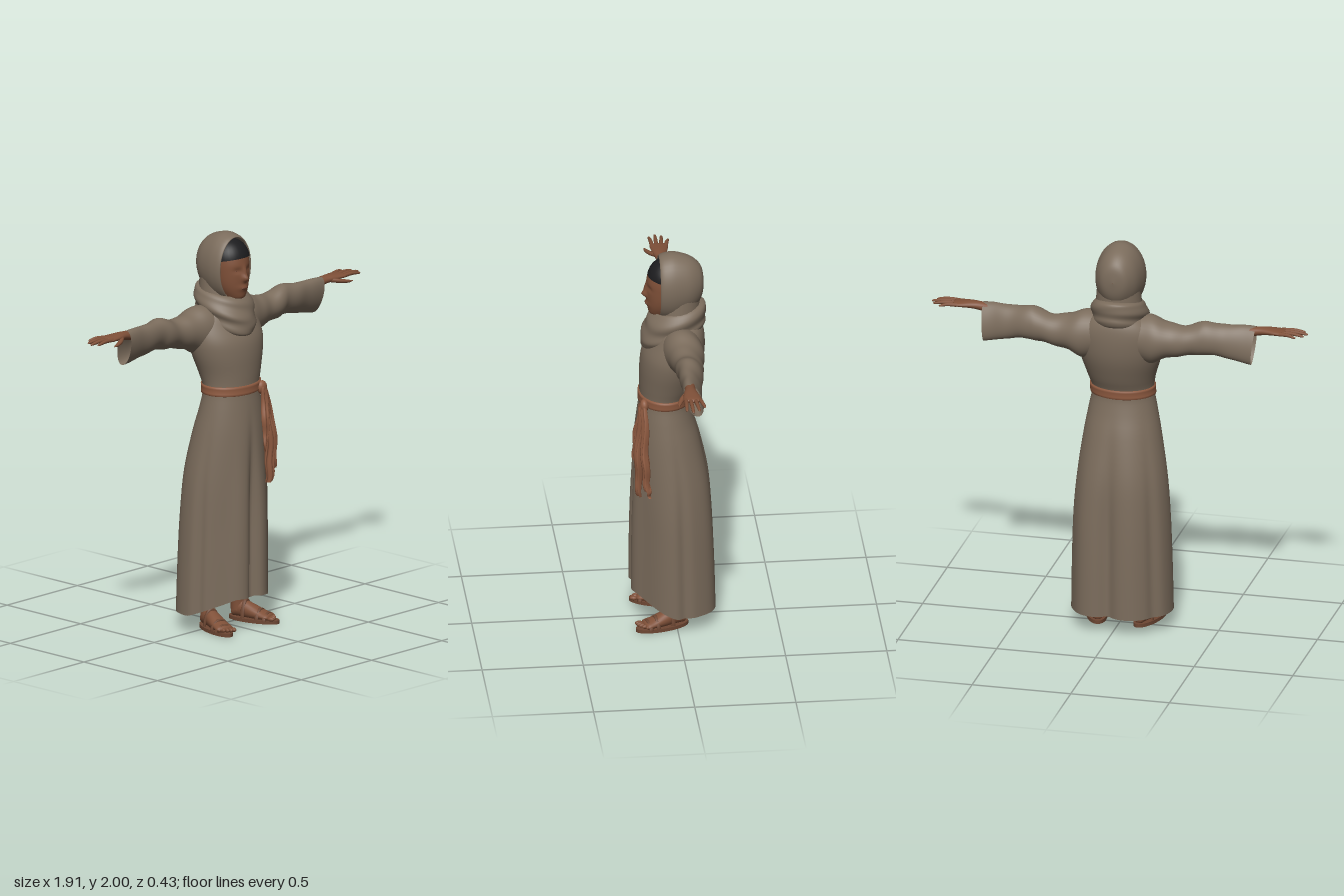
import * as THREE from 'three';

const paint = (name, color, side = THREE.FrontSide) => {
  const m = new THREE.MeshStandardMaterial({ color, side });
  m.name = name;
  return m;
};

// Catmull-Rom through rows of numbers, seg steps per span
function spline(rows, seg) {
  const out = [], last = rows.length - 1;
  const at = i => rows[Math.min(last, Math.max(0, i))];
  for (let i = 0; i < last; i++) {
    const [p, q, r, s] = [at(i - 1), at(i), at(i + 1), at(i + 2)];
    for (let k = 0; k < seg; k++) {
      const t = k / seg;
      out.push(q.map((v, c) => {
        const quad = 2 * p[c] - 5 * v + 4 * r[c] - s[c];
        const cubic = 3 * (v - r[c]) + s[c] - p[c];
        return v + 0.5 * t * (r[c] - p[c] + t * (quad + t * cubic));
      }));
    }
  }
  out.push(rows[last]);
  return out;
}

// Closed cross-sections along an axis; a row is [x, y, z, side radius, out radius]
const FRAMES = {
  x: [[0, 0, 1], [0, 1, 0]],
  y: [[1, 0, 0], [0, 0, 1]],
  z: [[-1, 0, 0], [0, 1, 0]],
};
function loft(keys, axis, { n = 24, seg = 4, warp } = {}) {
  const [side, out] = FRAMES[axis], rows = spline(keys, seg), pos = [], idx = [];
  rows.forEach((r, i) => {
    for (let j = 0; j < n; j++) {
      const a = j / n * Math.PI * 2, s = Math.sin(a) * r[3], c = Math.cos(a) * r[4];
      const p = new THREE.Vector3(...[0, 1, 2].map(k => r[k] + side[k] * s + out[k] * c));
      if (warp) warp(p, a, i / (rows.length - 1), r);
      pos.push(p.x, p.y, p.z);
      if (i < rows.length - 1) {
        const A = i * n + j, B = i * n + (j + 1) % n;
        idx.push(A, B, A + n, B, B + n, A + n);
      }
    }
  });
  const g = new THREE.BufferGeometry();
  g.setAttribute('position', new THREE.Float32BufferAttribute(pos, 3));
  g.setIndex(idx);
  g.computeVertexNormals();
  return g;
}

const ball = (x, y, z, rx, ry, rz) => new THREE.SphereGeometry(1, 18, 12).scale(rx, ry, rz).translate(x, y, z);

function mirror(geo) {
  const g = geo.clone(), ix = g.index.array;
  g.scale(-1, 1, 1);
  for (let i = 0; i < ix.length; i += 3) [ix[i], ix[i + 1]] = [ix[i + 1], ix[i]];
  g.computeVertexNormals();
  return g;
}

export function createModel() {
  const model = new THREE.Group();
  model.name = 'robedWoman';
  const cloth = paint('robe cloth', 0x7b6c5c, THREE.DoubleSide);
  const sash = paint('sash cloth', 0x8e5a40, THREE.DoubleSide);
  const skin = paint('skin', 0x7f5038);
  const lipSkin = paint('lips', 0x6f4331);
  const black = paint('hair', 0x1d1d1f);
  const leather = paint('sandal leather', 0x6e4733);
  const add = (name, geo, mat) => {
    const m = new THREE.Mesh(geo, mat);
    m.name = name;
    model.add(m);
  };
  const pair = (name, geo, mat) => {
    add('left' + name, geo, mat);
    add('right' + name, mirror(geo), mat);
  };

  // Robe: flared skirt with deep folds and a hem raised at the front
  const bump = (a, at, w) => Math.exp(-((Math.atan2(Math.sin(a - at), Math.cos(a - at)) / w) ** 2));
  add('robe', loft([
    [-0.012, 0.09, 0.005, 0.258, 0.212], [-0.01, 0.35, 0.008, 0.253, 0.208], [-0.008, 0.6, 0.012, 0.244, 0.2],
    [-0.008, 0.8, 0.018, 0.226, 0.188], [-0.006, 1.0, 0.035, 0.195, 0.162], [-0.005, 1.12, 0.047, 0.172, 0.138],
    [-0.005, 1.22, 0.05, 0.155, 0.122], [0, 1.3, 0.035, 0.17, 0.137], [0, 1.4, 0.017, 0.2, 0.153],
    [0, 1.48, 0.003, 0.212, 0.152], [0, 1.56, -0.018, 0.2, 0.13], [0, 1.62, -0.022, 0.15, 0.11], [0, 1.66, -0.01, 0.08, 0.08],
  ], 'y', {
    n: 120, warp(p, a, t, r) {
      const k = THREE.MathUtils.smoothstep(1.2 - p.y, 0, 0.75);
      const corner = (Math.cos(a) > 0 ? -0.07 : 0.02) * Math.sin(2 * a) ** 2;
      const folds = -0.2 * bump(a, 0, 0.11) + 0.06 * (bump(a, 0.33, 0.22) + bump(a, -0.33, 0.22)) - 0.15 * bump(a, 3.0, 0.17)
        - 0.06 * bump(a, 1.75, 0.13) - 0.06 * bump(a, -1.3, 0.12) - 0.06 * bump(a, -2.3, 0.14)
        + 0.04 * bump(a, 3.5, 0.22) + 0.06 * bump(a, 2.5, 0.28);
      const f = 1 + k * (corner + folds);
      p.x = r[0] + (p.x - r[0]) * f;
      p.z = r[2] + (p.z - r[2]) * f;
      if (p.z > 0) p.y += 0.1 * Math.min(1, p.z / 0.2) ** 1.2 * Math.max(0, 1 - r[1] / 0.8);
    },
  }), cloth);

  // Sleeves with soft wrinkles and open cuffs
  pair('Sleeve', loft([
    [0.06, 1.52, -0.02, 0.1, 0.11], [0.12, 1.525, -0.025, 0.1, 0.118], [0.18, 1.522, -0.03, 0.098, 0.118], [0.25, 1.527, -0.037, 0.082, 0.09],
    [0.32, 1.53, -0.037, 0.07, 0.075], [0.4, 1.547, -0.037, 0.068, 0.08], [0.45, 1.555, -0.035, 0.06, 0.08],
    [0.55, 1.545, -0.027, 0.05, 0.08], [0.62, 1.54, -0.022, 0.044, 0.09], [0.685, 1.533, -0.02, 0.045, 0.093],
  ], 'x', {
    n: 36, seg: 6, warp(p, a, t) {
      const w = 0.003 * Math.sin(p.x * 48 + 2 * Math.sin(a)) * Math.sin(Math.PI * t);
      p.y += w * Math.cos(a);
      p.z += w * Math.sin(a) + 0.25 * (p.y - 1.56) * t;
      p.x += 0.08 * (p.y - 1.54) * t;
    },
  }), cloth);

  // Hood shell around the head, with its edge tucked in
  add('hood', loft([
    [0, 1.84, -0.146, 0.001, 0.001], [0, 1.84, -0.138, 0.05, 0.065], [0, 1.835, -0.115, 0.08, 0.11], [0, 1.83, -0.07, 0.107, 0.148],
    [0, 1.825, 0, 0.122, 0.174], [0, 1.823, 0.045, 0.122, 0.172], [0, 1.823, 0.07, 0.115, 0.163],
    [0, 1.823, 0.073, 0.106, 0.155], [0, 1.823, 0.04, 0.098, 0.15],
  ], 'z', { n: 40 }), cloth);
  add('hoodNeck', loft([[0, 1.58, -0.01, 0.13, 0.11], [0, 1.7, -0.022, 0.115, 0.105], [0, 1.8, -0.03, 0.105, 0.095]], 'y'), cloth);

  // Cowl: draped rolls hanging lower at the front
  add('cowl', loft([
    [0, 1.548, 0.008, 0.085, 0.115], [0, 1.553, 0.008, 0.115, 0.15], [0, 1.58, 0.007, 0.133, 0.163], [0, 1.61, 0.005, 0.136, 0.155],
    [0, 1.64, 0, 0.142, 0.158], [0, 1.67, -0.008, 0.138, 0.148], [0, 1.695, -0.012, 0.125, 0.135], [0, 1.708, -0.01, 0.1, 0.11], [0, 1.68, -0.01, 0.08, 0.09],
  ], 'y', {
    n: 48, warp(p, a, t, r) {
      const f = 1 + 0.035 * Math.sin(t * 20 + 2.5 * Math.sin(a)) * Math.sin(Math.PI * t) * (0.65 + 0.35 * Math.cos(a));
      p.x *= f;
      p.z = r[2] + (p.z - r[2]) * f;
      p.y -= p.z * (0.38 - 0.2 * t);
    },
  }), cloth);

  // Head with nose, eye sockets and mouth
  add('head', loft([
    [0, 1.62, 0.015, 0.05, 0.05], [0, 1.672, 0.05, 0.042, 0.06], [0, 1.685, 0.056, 0.052, 0.07], [0, 1.72, 0.055, 0.07, 0.078], [0, 1.76, 0.05, 0.082, 0.086],
    [0, 1.81, 0.045, 0.088, 0.092], [0, 1.86, 0.04, 0.089, 0.096], [0, 1.91, 0.035, 0.08, 0.088], [0, 1.95, 0.03, 0.05, 0.06], [0, 1.965, 0.03, 0.001, 0.001],
  ], 'y', {
    n: 64, seg: 6, warp(p) {
      if (p.z < 0.06) return;
      const g = (x, y, w, h) => Math.exp(-(((p.x - x) / w) ** 2) - ((p.y - y) / h) ** 2);
      p.z += 0.024 * g(0, 1.783, 0.015, 0.016) + 0.013 * g(0, 1.815, 0.011, 0.025) + 0.008 * g(0, 1.735, 0.028, 0.014)
        - 0.007 * (g(0.036, 1.825, 0.02, 0.013) + g(-0.036, 1.825, 0.02, 0.013));
    },
  }), skin);
  add('lips', ball(0, 1.735, 0.139, 0.022, 0.007, 0.006), lipSkin);
  pair('Eyelid', ball(0.036, 1.822, 0.117, 0.014, 0.003, 0.005), lipSkin);
  add('hair', new THREE.SphereGeometry(1, 32, 20, 0, Math.PI * 2, 0, Math.PI * 0.5)
    .scale(0.1, 0.105, 0.098).rotateX(-0.2).translate(0, 1.866, 0.036), black);

  // Belt, knot and hanging sash tails
  add('belt', loft([
    [-0.005, 1.2, 0.049, 0.15, 0.12], [-0.005, 1.203, 0.049, 0.164, 0.131], [-0.003, 1.225, 0.048, 0.163, 0.13],
    [-0.003, 1.245, 0.047, 0.165, 0.132], [-0.003, 1.248, 0.047, 0.15, 0.12],
  ], 'y', { n: 48, seg: 2 }), sash);
  add('sashKnot', ball(0.1, 1.213, 0.158, 0.03, 0.034, 0.022), sash);
  const tails = [
    [[0.122, 0.73, 0.185, 0.024, 0.008], [0.125, 0.85, 0.19, 0.032, 0.013], [0.118, 1.02, 0.185, 0.03, 0.014], [0.105, 1.21, 0.166, 0.014, 0.012]],
    [[0.182, 0.78, 0.15, 0.022, 0.008], [0.174, 0.88, 0.158, 0.028, 0.014], [0.155, 1.03, 0.16, 0.028, 0.014], [0.115, 1.22, 0.16, 0.016, 0.012]],
    [[0.072, 0.9, 0.205, 0.005, 0.006], [0.082, 0.98, 0.202, 0.018, 0.01], [0.088, 1.1, 0.187, 0.02, 0.012], [0.098, 1.22, 0.168, 0.012, 0.01]],
    [[0.188, 0.745, 0.142, 0.01, 0.006], [0.185, 0.82, 0.15, 0.01, 0.008], [0.165, 1.0, 0.16, 0.014, 0.01]],
  ];
  tails.forEach((rows, i) => add('sashTail' + (i + 1), loft(rows, 'y', {
    n: 32, seg: 8, warp(p, a, t, r) {
      p.z += 0.006 * Math.cos((p.x - r[0]) * 190 + i) + 0.004 * Math.sin(t * 14);
      p.x += 0.004 * Math.sin(t * 16 + i);
    },
  }), sash));

  // Forearms, palms and spread fingers
  pair('Hand', loft([
    [0.5, 1.57, -0.02, 0.032, 0.035], [0.62, 1.59, -0.014, 0.029, 0.028], [0.7, 1.604, -0.008, 0.026, 0.022],
    [0.75, 1.609, -0.006, 0.034, 0.019], [0.8, 1.61, -0.008, 0.043, 0.015], [0.835, 1.61, -0.008, 0.042, 0.011], [0.845, 1.609, -0.008, 0.001, 0.001],
  ], 'x'), skin);
  [[-0.042, -0.06, 0.905], [-0.02, -0.031, 0.94], [0.003, 0, 0.953], [0.024, 0.03, 0.935]].forEach(([z0, z1, x1], i) => {
    pair('Finger' + (i + 1), loft([
      [0.815, 1.61, z0, 0.011, 0.01], [(0.815 + x1) / 2, 1.613, (z0 + z1) / 2, 0.0095, 0.009],
      [x1 - 0.012, 1.607, z1, 0.007, 0.006], [x1, 1.605, z1, 0.001, 0.001],
    ], 'x', { n: 10 }), skin);
  });
  pair('Thumb', loft([
    [0.735, 1.605, 0.008, 0.014, 0.012], [0.775, 1.597, 0.036, 0.014, 0.011], [0.82, 1.59, 0.055, 0.01, 0.008], [0.852, 1.588, 0.062, 0.001, 0.001],
  ], 'x', { n: 12 }), skin);

  // Underskirt behind the legs, bare legs and sandalled feet
  add('underskirt', loft([[-0.015, 0.11, -0.07, 0.1, 0.055], [-0.01, 0.3, -0.06, 0.13, 0.07], [0, 0.6, -0.03, 0.14, 0.08]], 'y'), sash);
  pair('Leg', loft([[0.108, 0.05, -0.012, 0.034, 0.038], [0.106, 0.12, -0.012, 0.034, 0.036], [0.1, 0.25, -0.01, 0.044, 0.046], [0.095, 0.5, 0, 0.055, 0.055]], 'y'), skin);
  const place = g => g.rotateY(0.28).translate(0.135, 0, 0.073);
  pair('Sole', place(new THREE.CylinderGeometry(1, 1, 0.018, 32).scale(0.053, 1, 0.137).translate(0, 0.009, 0)), leather);
  pair('Foot', place(loft([
    [0, 0.04, -0.122, 0.001, 0.001], [0, 0.042, -0.115, 0.026, 0.026], [0, 0.055, -0.085, 0.034, 0.042], [0, 0.055, -0.05, 0.036, 0.045],
    [0, 0.044, 0, 0.041, 0.038], [0, 0.035, 0.05, 0.045, 0.024], [0, 0.03, 0.09, 0.043, 0.016], [0, 0.028, 0.1, 0.001, 0.001],
  ], 'z')), skin);
  for (let i = 0; i < 5; i++) {
    pair('Toe' + (i + 1), place(ball(-0.034 + i * 0.017, 0.028, 0.11 - i * i * 0.002, i ? 0.009 : 0.012, 0.011, 0.02)), skin);
  }
  [[0.075, 0.046, 0.035], [0.035, 0.046, 0.05], [-0.045, 0.041, 0.086]].forEach(([z, w, h], i) => {
    const strap = new THREE.TorusGeometry(1, 0.12, 8, 20, Math.PI).scale(w, h, 0.09).translate(0, 0.014, z);
    pair('Strap' + (i + 1), place(strap), leather);
  });

  return model;
}
